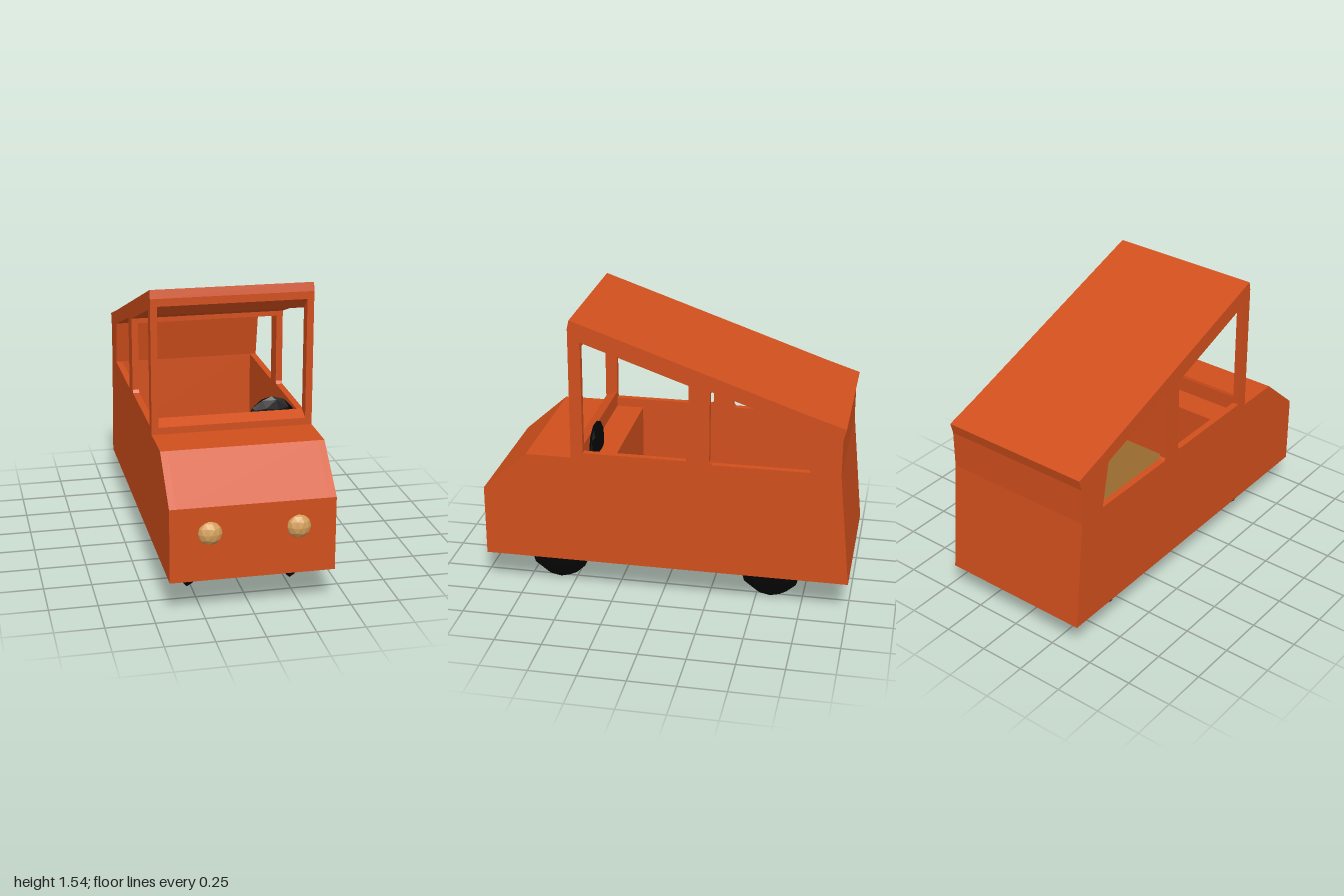
import * as THREE from 'three';

export function createModel() {
  const car = new THREE.Group();
  car.name = 'van';
  const mat = (name, color, flatShading = false) => {
    const m = new THREE.MeshStandardMaterial({ color, flatShading });
    m.name = name;
    return m;
  };
  const orange = mat('orange paint', 0xd04f1c);
  const black = mat('black rubber', 0x050505, true);
  const tan = mat('tan lamp', 0xd4a05c, true);
  const olive = mat('tan floor', 0x98692f);

  const add = (name, geometry, material) => {
    const mesh = new THREE.Mesh(geometry, material);
    mesh.name = name;
    car.add(mesh);
    return mesh;
  };
  const points = (list) => list.map(([z, y]) => new THREE.Vector2(z, y));

  // Extrudes a (z, y) outline across the car from x0 to x1
  const panel = (name, outline, holes, x0, x1, material = orange) => {
    const shape = new THREE.Shape(points(outline));
    holes.forEach((h) => shape.holes.push(new THREE.Path(points(h))));
    const g = new THREE.ExtrudeGeometry(shape, { depth: x1 - x0, bevelEnabled: false });
    g.rotateY(-Math.PI / 2);
    g.translate(x1, 0, 0);
    return add(name, g, material);
  };

  const W = 0.42, IN = 0.385, BOTTOM = 0.187;
  const nose = [[0.96, BOTTOM], [0.96, 0.575], [0.72, 0.79], [0.475, 0.79]];
  const back = [[0.475, 1.5], [0.465, 1.545], [-0.77, 1.12], [-0.955, 1.06],
    [-0.94, 1.0], [-0.94, 0.8], [-1.0, BOTTOM]];

  // Side walls with two window openings each
  const windows = [
    [[0.41, 0.82], [0.41, 1.43], [-0.15, 1.237], [-0.15, 0.835], [-0.138, 0.82]],
    [[-0.272, 0.81], [-0.26, 0.825], [-0.26, 1.215], [-0.73, 1.055], [-0.78, 0.81]],
  ];
  panel('leftSide', [...nose, ...back], windows, IN, W);
  panel('rightSide', [...nose, ...back], windows, -W, -IN);

  // Bonnet, bevelled windscreen sill and dashboard
  panel('bonnetAndDashboard', [...nose, [0.475, 0.827], [0.41, 0.857], [0.41, 0.77],
    [0.26, 0.77], [0.26, 0.28], [0.88, 0.28], [0.88, BOTTOM]], [], -IN, IN);

  // Roof with a bevelled header and cross beam, running down into the thick rear wall
  panel('roofAndRear', [[0.475, 1.46], ...back, [-0.84, BOTTOM], [-0.814, 0.28],
    [-0.78, 0.4], [-0.78, 0.81], [-0.73, 1.055], [-0.26, 1.215], [-0.26, 1.19],
    [-0.15, 1.21], [-0.15, 1.237], [0.41, 1.43], [0.41, 1.4]], [], -IN, IN);

  // Floor slab and its lining
  panel('floor', [[0.26, 0.28], [0.26, 0.4], [-0.78, 0.4], [-0.814, 0.28]], [], -IN, IN);
  panel('floorLining', [[0.26, 0.4], [0.26, 0.408], [-0.78, 0.408], [-0.78, 0.4]],
    [], -IN, IN, olive);

  // Faceted ball with a corner at the top, stretched to the given radii
  const ball = (name, material, [x, y, z], [rx, ry, rz]) => {
    const g = new THREE.IcosahedronGeometry(1, 1);
    g.rotateZ(-Math.atan(2 / (1 + Math.sqrt(5))));
    g.scale(rx, ry, rz);
    add(name, g, material).position.set(x, y, z);
  };

  for (const side of [1, -1]) {
    const label = side > 0 ? 'Left' : 'Right';
    ball('front' + label + 'Wheel', black, [side * 0.272, 0.178, 0.588], [0.06, 0.178, 0.173]);
    ball('rear' + label + 'Wheel', black, [side * 0.272, 0.178, -0.575], [0.06, 0.178, 0.173]);
    ball('headlight' + label, tan, [side * 0.224 + 0.006, 0.437, 0.955], [0.063, 0.063, 0.045]);
  }
  ball('steeringWheel', black, [0.23, 0.8, 0.38], [0.125, 0.125, 0.028]);

  return car;
}
